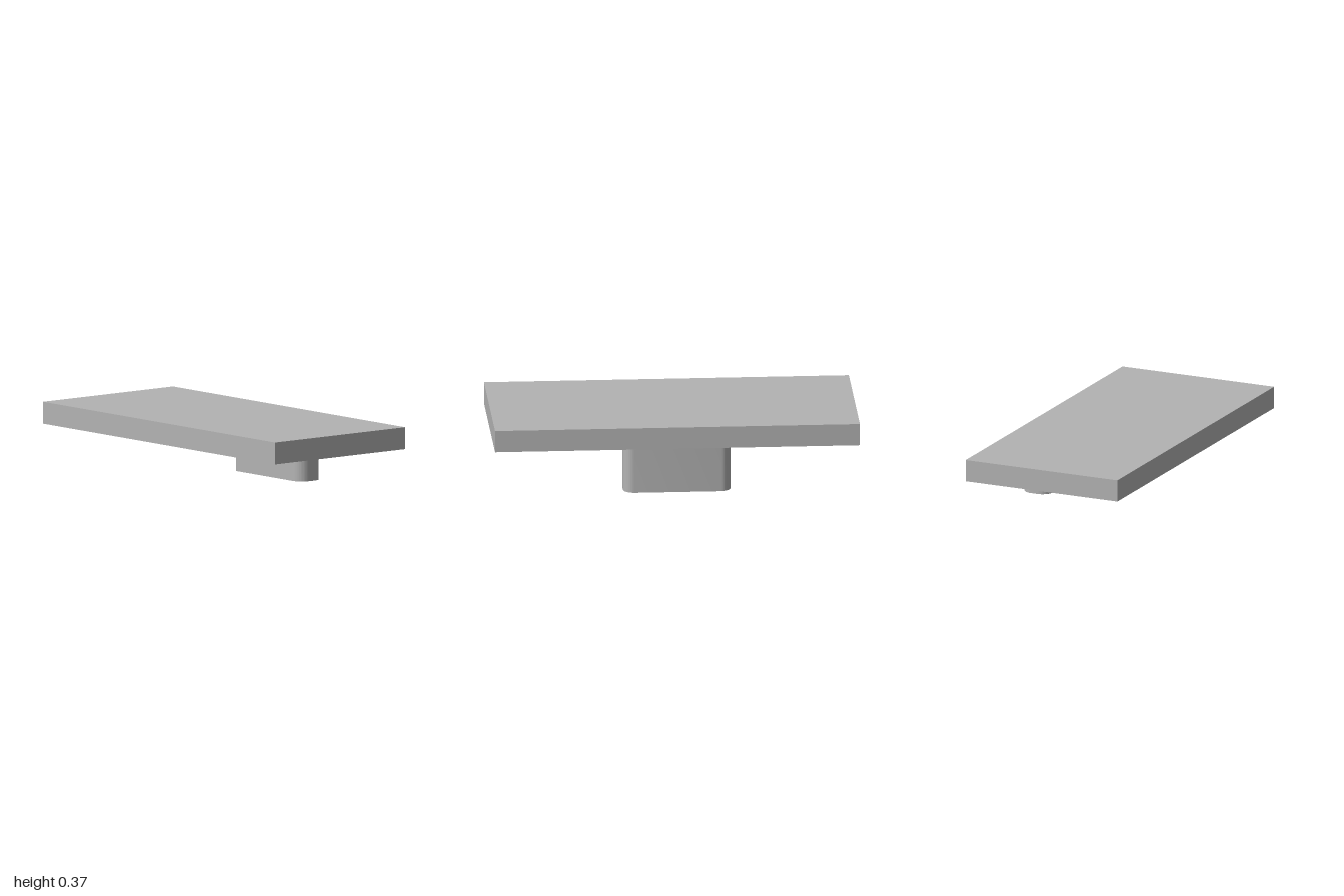
import * as THREE from 'three';
import { toCreasedNormals } from 'three/addons/utils/BufferGeometryUtils.js';

// Rectangle with rounded corners, centred on the origin
function roundedRect(w, d, r) {
  const x = w / 2, y = d / 2;
  const s = new THREE.Shape();
  s.moveTo(x, -y + r);
  s.lineTo(x, y - r);
  s.absarc(x - r, y - r, r, 0, Math.PI / 2);
  s.absarc(-x + r, y - r, r, Math.PI / 2, Math.PI);
  s.absarc(-x + r, -y + r, r, Math.PI, Math.PI * 1.5);
  s.absarc(x - r, -y + r, r, Math.PI * 1.5, Math.PI * 2);
  return s;
}

export function createModel() {
  const group = new THREE.Group();
  const grey = new THREE.MeshStandardMaterial({ color: 0xb3b3b3 });
  grey.name = 'plain grey';

  const width = 0.917, top = 0.368, legHeight = 0.247;

  // Flat rectangular slab
  const slab = new THREE.Mesh(new THREE.BoxGeometry(width, top - legHeight, 2), grey);
  slab.name = 'slab';
  slab.position.y = (top + legHeight) / 2;
  group.add(slab);

  // Short rounded foot, flush with the slab's left edge
  const legWidth = 0.164;
  const legGeometry = new THREE.ExtrudeGeometry(roundedRect(legWidth, 0.594, 0.062), {
    depth: legHeight, bevelEnabled: false, curveSegments: 12,
  });
  legGeometry.rotateX(-Math.PI / 2);
  const foot = new THREE.Mesh(toCreasedNormals(legGeometry, Math.PI / 5), grey);
  foot.name = 'foot';
  foot.position.x = width / 2 - legWidth / 2;
  group.add(foot);

  return group;
}
